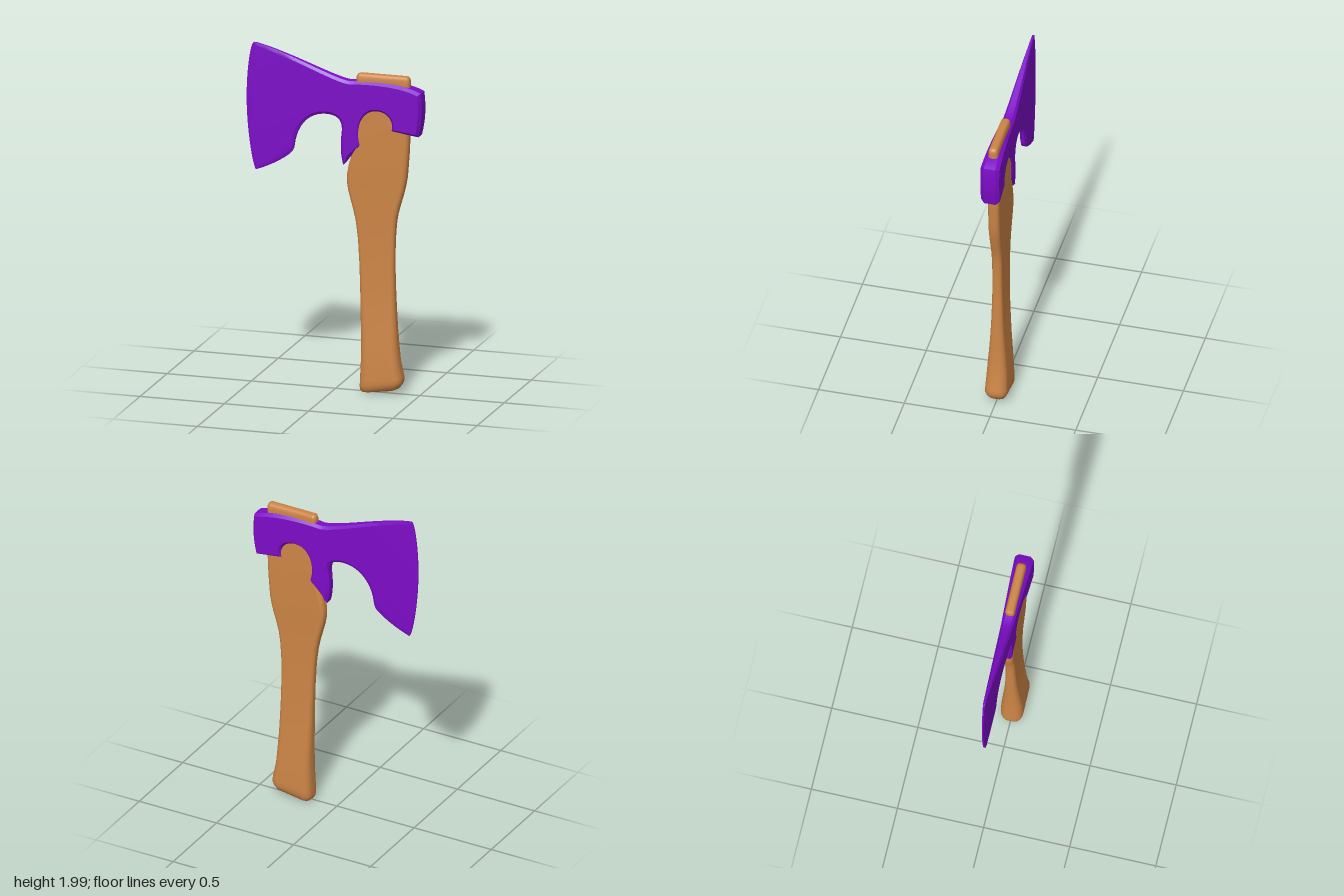
import * as THREE from 'three';
import { toCreasedNormals } from 'three/addons/utils/BufferGeometryUtils.js';

// Flat side outline thickened into a wedge: thin at the cutting edge, thick at the poll
function headGeometry() {
  const s = new THREE.Shape();
  s.moveTo(-0.485, 2.0);
  s.bezierCurveTo(-0.505, 1.99, -0.527, 1.83, -0.527, 1.68); // cutting edge
  s.bezierCurveTo(-0.527, 1.5, -0.495, 1.3, -0.472, 1.255);
  s.quadraticCurveTo(-0.35, 1.3, -0.27, 1.365);              // toe
  s.quadraticCurveTo(-0.248, 1.385, -0.245, 1.42);
  s.bezierCurveTo(-0.23, 1.54, -0.15, 1.62, -0.05, 1.62);    // beard hollow
  s.bezierCurveTo(0.03, 1.62, 0.045, 1.58, 0.043, 1.53);
  s.bezierCurveTo(0.035, 1.46, 0.033, 1.39, 0.052, 1.33);    // lug
  s.lineTo(0.09, 1.38);
  s.lineTo(0.165, 1.45);
  s.lineTo(0.152, 1.51);
  s.bezierCurveTo(0.15, 1.61, 0.2, 1.66, 0.255, 1.66);       // arch round the handle
  s.bezierCurveTo(0.32, 1.66, 0.355, 1.61, 0.338, 1.553);
  s.lineTo(0.502, 1.533);
  s.quadraticCurveTo(0.534, 1.66, 0.515, 1.79);              // poll
  s.bezierCurveTo(0.42, 1.835, 0.24, 1.84, 0.09, 1.825);
  s.bezierCurveTo(0, 1.83, -0.25, 1.95, -0.46, 1.998);       // top
  s.closePath();

  const bevel = 0.4;
  const g = new THREE.ExtrudeGeometry(s, {
    depth: 2 - 2 * bevel, bevelThickness: bevel, bevelSize: 0.016,
    bevelOffset: -0.016, bevelSegments: 1, curveSegments: 12,
  });
  g.translate(0, 0, bevel - 1);
  const p = g.attributes.position;
  for (let i = 0; i < p.count; i++) {
    p.setZ(i, p.getZ(i) * (0.006 + 0.049 * (p.getX(i) + 0.527) / 1.03));
  }
  return toCreasedNormals(g, 0.45);
}

// Handle stations: [y, left edge, right edge, half thickness, tilt]
const STATIONS = [
  [0.004, 0.185, 0.355, 0.035, 0.035], [0.008, 0.165, 0.378, 0.048, 0.04],
  [0.022, 0.153, 0.395, 0.058, 0.045], [0.045, 0.15, 0.402, 0.064, 0.04],
  [0.08, 0.152, 0.4, 0.065, 0.03], [0.2, 0.157, 0.381, 0.06, 0], [0.3, 0.157, 0.372, 0.053, 0],
  [0.4, 0.155, 0.365, 0.045, 0], [0.5, 0.152, 0.36, 0.039, 0], [0.6, 0.15, 0.356, 0.034, 0],
  [0.75, 0.145, 0.352, 0.03, 0], [0.9, 0.136, 0.354, 0.028, 0], [1.0, 0.124, 0.361, 0.029, 0],
  [1.06, 0.111, 0.37, 0.029, 0], [1.12, 0.095, 0.386, 0.03, 0], [1.18, 0.079, 0.404, 0.031, 0],
  [1.23, 0.071, 0.416, 0.032, 0], [1.28, 0.072, 0.425, 0.033, 0], [1.34, 0.083, 0.43, 0.033, 0],
  [1.42, 0.108, 0.436, 0.033, 0], [1.5, 0.125, 0.44, 0.033, 0], [1.65, 0.13, 0.442, 0.03, 0],
  [1.835, 0.127, 0.444, 0.028, 0], [1.855, 0.128, 0.443, 0.027, 0],
  [1.868, 0.134, 0.437, 0.022, 0], [1.873, 0.145, 0.426, 0.014, 0],
];

// Rounded-rectangle rings joined from the foot to the top
function handleGeometry() {
  const pos = [], idx = [], steps = 5, n = 4 * (steps + 1);
  for (const [y, l, r, hz, tilt] of STATIONS) {
    const rad = hz * 0.75, cx = (l + r) / 2, hx = (r - l) / 2;
    for (let c = 0; c < 4; c++) {
      const sx = c === 0 || c === 3 ? 1 : -1, sz = c < 2 ? 1 : -1;
      for (let k = 0; k <= steps; k++) {
        const a = (c + k / steps) * Math.PI / 2;
        const x = cx + sx * (hx - rad) + rad * Math.cos(a);
        pos.push(x, y + tilt * (x - 0.15) / 0.25, sz * (hz - rad) + rad * Math.sin(a));
      }
    }
  }
  const rings = STATIONS.length;
  for (let j = 0; j < rings - 1; j++) {
    for (let i = 0; i < n; i++) {
      const a = j * n + i, b = j * n + (i + 1) % n;
      idx.push(a, a + n, b, b, a + n, b + n);
    }
  }
  // End caps
  const top = (rings - 1) * n;
  for (let i = 1; i < n - 1; i++) {
    idx.push(0, i, i + 1, top, top + i + 1, top + i);
  }
  const g = new THREE.BufferGeometry();
  g.setAttribute('position', new THREE.Float32BufferAttribute(pos, 3));
  g.setIndex(idx);
  g.computeVertexNormals();
  return g;
}

export function createModel() {
  const group = new THREE.Group();
  group.name = 'axe';
  const add = (name, geometry, color) => {
    const mesh = new THREE.Mesh(geometry, new THREE.MeshStandardMaterial({ color }));
    mesh.name = name;
    group.add(mesh);
  };
  add('axeHead', headGeometry(), 0x7d0cc8);
  add('handle', handleGeometry(), 0xcd8546);
  return group;
}
